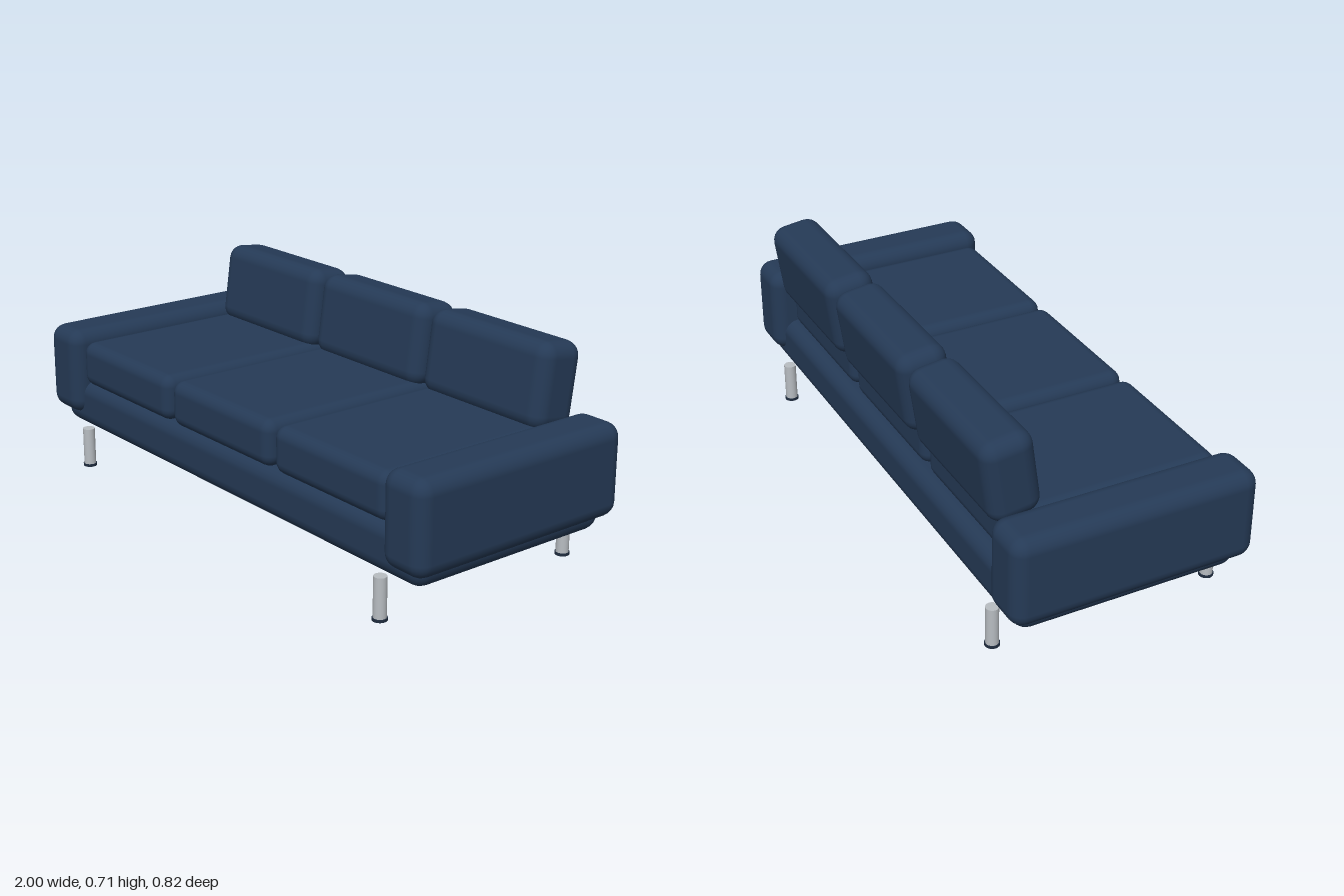
import * as THREE from 'three';
import { RoundedBoxGeometry } from 'three/addons/geometries/RoundedBoxGeometry.js';

export function createModel() {
  const sofa = new THREE.Group();
  sofa.name = 'sofa';

  const material = (name, color) => {
    const m = new THREE.MeshStandardMaterial({ color });
    m.name = name;
    return m;
  };
  const fabric = material('navy fabric', 0x253a56);
  const metal = material('brushed metal', 0xb8bdc2);
  const rubber = material('dark foot', 0x1f2c3f);

  const add = (name, geometry, mat, x, y, z) => {
    const mesh = new THREE.Mesh(geometry, mat);
    mesh.name = name;
    mesh.position.set(x, y, z);
    sofa.add(mesh);
    return mesh;
  };
  // Upholstered block with soft edges
  const padded = (name, w, h, d, r, x, y, z) =>
    add(name, new RoundedBoxGeometry(w, h, d, 3, r), fabric, x, y, z);

  // Base frame under the cushions
  padded('base', 1.92, 0.168, 0.755, 0.05, 0, 0.221, 0.002);

  // Three seat cushions, each with a back cushion leaning backwards
  for (const x of [-0.553, 0, 0.553]) {
    padded('seatCushion', 0.535, 0.157, 0.725, 0.04, x, 0.3785, 0.0225);
    const back = padded('backCushion', 0.535, 0.28, 0.172, 0.05, x, 0.569, -0.313);
    back.rotation.x = -0.14;
  }

  // Armrests and legs on both sides
  for (const side of [-1, 1]) {
    padded('armrest', 0.178, 0.305, 0.823, 0.05, side * 0.911, 0.3375, 0.002);
    for (const z of [0.382, -0.376]) {
      add('leg', new THREE.CylinderGeometry(0.021, 0.021, 0.134, 20), metal, side * 0.8, 0.073, z);
      add('foot', new THREE.CylinderGeometry(0.024, 0.024, 0.009, 20), rubber, side * 0.8, 0.0045, z);
    }
  }

  return sofa;
}
